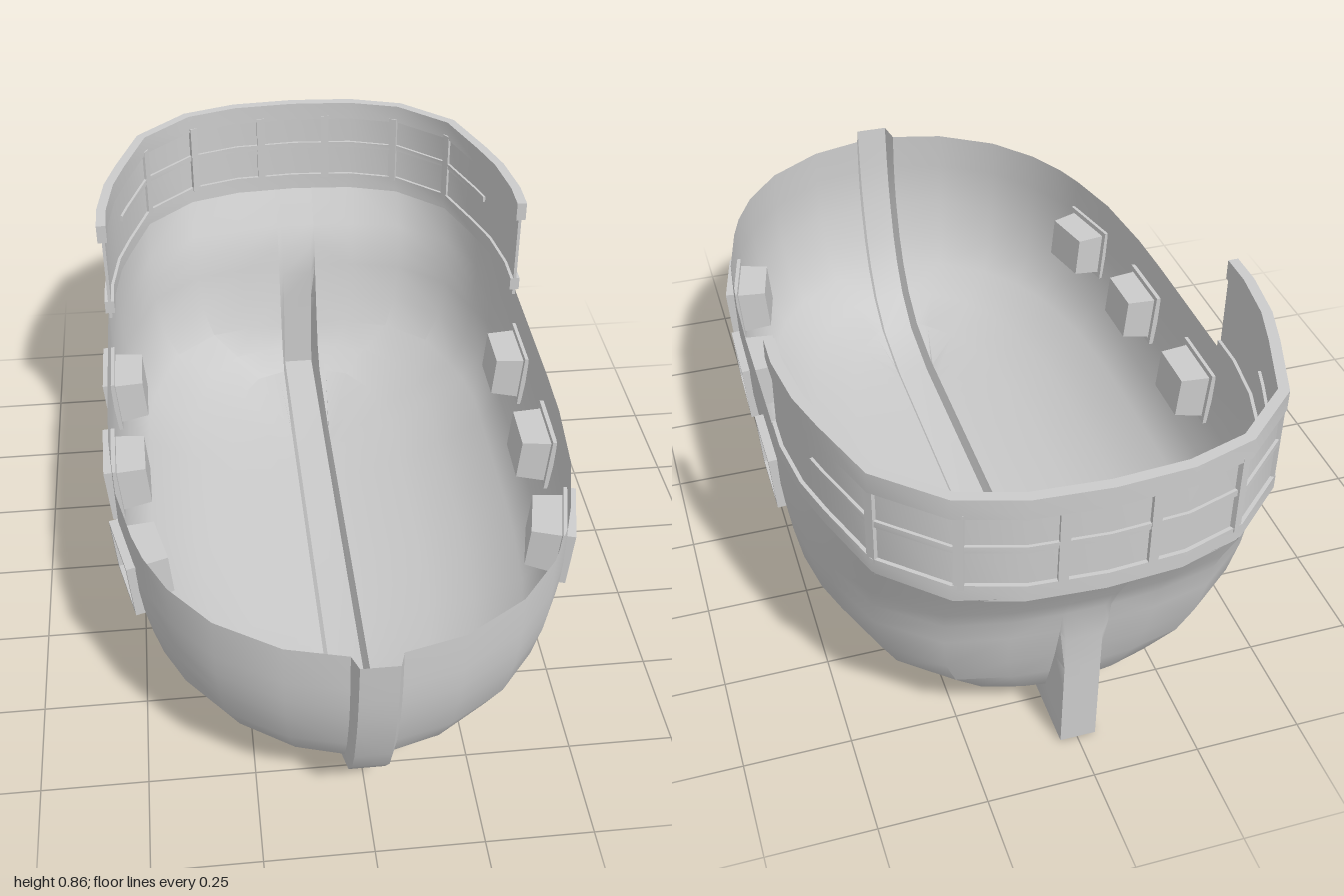
import * as THREE from 'three';
import { toCreasedNormals } from 'three/addons/utils/BufferGeometryUtils.js';

const material = new THREE.MeshStandardMaterial({ color: 0xcccccc, side: THREE.DoubleSide });

// Half deck outline from bow to stern: [x, z]
const OUTLINE = [
  [0.055, 0.955], [0.19, 0.92], [0.33, 0.83], [0.42, 0.72], [0.47, 0.62], [0.495, 0.545],
  [0.53, 0.395], [0.547, 0.2], [0.55, 0.06], [0.55, -0.155], [0.55, -0.295], [0.55, -0.42],
  [0.53, -0.55], [0.5, -0.65], [0.44, -0.82], [0.31, -0.94], [0.17, -0.975], [0.055, -0.985],
];
// Waterlines: y, half width, bow z, stern z, keel bow [z, y], keel stern [z, y]
const LEVELS = [
  [0.59, 0.55, 0.955, -0.985, [1.0, 0.6], [-0.985, 0.59]],
  [0.49, 0.55, 0.955, -0.925, [0.99, 0.49], [-0.925, 0.49]],
  [0.43, 0.547, 0.95, -0.895, [0.98, 0.42], [-0.895, 0.43]],
  [0.37, 0.54, 0.94, -0.885, [0.965, 0.355], [-0.89, 0.34]],
  [0.27, 0.52, 0.91, -0.86, [0.935, 0.255], [-0.89, 0.25]],
  [0.19, 0.47, 0.87, -0.835, [0.9, 0.18], [-0.89, 0.18]],
  [0.12, 0.35, 0.81, -0.81, [0.84, 0.1], [-0.89, 0.1]],
  [0.065, 0.24, 0.72, -0.76, [0.74, 0.035], [-0.89, 0.01]],
  [0.035, 0.055, 0.56, -0.5, [0.56, 0.005], [-0.5, 0.005]],
];
const KEEL = 0.055;
const PORT_COLUMNS = [5, 7, 9];

// Surface through rows of points; skip(row, column) leaves a hole
function grid(rows, crease = 0.6, skip = () => false) {
  const n = rows[0].length, index = [];
  for (let r = 0; r < rows.length - 1; r++) {
    for (let c = 0; c < n - 1; c++) {
      if (skip(r, c)) continue;
      const a = r * n + c, b = a + n;
      index.push(a, b, a + 1, a + 1, b, b + 1);
    }
  }
  const g = new THREE.BufferGeometry();
  g.setAttribute('position', new THREE.Float32BufferAttribute(rows.flat(2), 3));
  g.setIndex(index);
  return toCreasedNormals(g, crease);
}

function part(name, geometry) {
  const mesh = new THREE.Mesh(geometry, material);
  mesh.name = name;
  return mesh;
}

// Half hull with openings for the ports
function hullGeometry() {
  const last = OUTLINE.length - 1;
  const rows = LEVELS.map(([y, w, bow, stern]) => OUTLINE.map(([x, z], i) => {
    const px = i === 0 || i === last ? KEEL : Math.max(KEEL, x * w / 0.55);
    const pz = z > 0.06 ? 0.06 + (z - 0.06) * (bow - 0.06) / 0.895
      : z < -0.32 ? -0.32 + (z + 0.32) * (stern + 0.32) / -0.665
        : w <= KEEL ? z * 0.9 : z;
    return [px, y, pz];
  }));
  return grid(rows, 0.6, (r, c) => (r === 1 || r === 2) && PORT_COLUMNS.includes(c));
}

// Hollow stem, keel and skeg in one strip
function keelGeometry() {
  const section = (y, z, [oz, oy]) => [[KEEL, y, z], [0.042, oy, oz], [-0.042, oy, oz], [-KEEL, y, z]];
  const bow = LEVELS.map(l => section(l[0], l[2], l[4]));
  const stern = LEVELS.map(l => section(l[0], l[3], l[5])).reverse();
  return grid([...bow, ...stern], 0.8);
}

// Stern bulwark path from one side round to the other
const HALF = [[0.543, -0.335], [0.543, -0.42], [0.525, -0.55], [0.495, -0.65], [0.437, -0.815],
  [0.307, -0.932], [0.168, -0.974]];
const PATH = [...HALF, [0, -0.985], ...HALF.map(([x, z]) => [-x, z]).reverse()];

// Rectangular band swept along a path, with closed ends
function band(path, y0, y1, inner, outer) {
  const rows = path.map(([x, z], i) => {
    const a = path[Math.max(0, i - 1)], b = path[Math.min(path.length - 1, i + 1)];
    const dx = b[0] - a[0], dz = b[1] - a[1], l = Math.hypot(dx, dz);
    const nx = -dz / l, nz = dx / l;
    const at = (o, y) => [x + nx * o, y, z + nz * o];
    return [at(outer, y0), at(outer, y1), at(inner, y1), at(inner, y0), at(outer, y0)];
  });
  const cap = row => row.map(() => [0, 1, 2].map(k => (row[0][k] + row[2][k]) / 2));
  return grid([cap(rows[0]), ...rows, cap(rows[rows.length - 1])], 0.6);
}

// Port facing +x: raised frame and closed tapered recess
function gunPort() {
  const port = new THREE.Group();
  const w = 0.087, h = 0.073, t = 0.013;
  const rect = (shape, a, b) => shape.moveTo(-a, -b).lineTo(a, -b).lineTo(a, b).lineTo(-a, b).closePath();
  const shape = rect(new THREE.Shape(), w, h);
  shape.holes.push(rect(new THREE.Path(), w - t, h - t));
  const frame = new THREE.ExtrudeGeometry(shape, { depth: 0.03, bevelEnabled: false });
  frame.rotateY(Math.PI / 2).translate(-0.015, 0, 0);
  const r = Math.SQRT2;
  const profile = [[0, -0.085], [r * 0.88, -0.085], [r, 0]].map(p => new THREE.Vector2(...p));
  const recess = toCreasedNormals(new THREE.LatheGeometry(profile, 4, Math.PI / 4), 0.3);
  recess.rotateZ(-Math.PI / 2).scale(1, h - t, w - t);
  port.add(part('portFrame', frame), part('portRecess', recess));
  return port;
}

export function createModel() {
  const model = new THREE.Group();
  model.name = 'shipHull';

  // Mirrored hull sides with three ports each
  for (const s of [1, -1]) {
    const side = new THREE.Group();
    side.name = s > 0 ? 'leftSide' : 'rightSide';
    side.add(part('hullSide', hullGeometry()));
    for (const [x, z, yaw] of [[0.512, 0.47, -0.23], [0.547, 0.13, -0.02], [0.55, -0.225, 0]]) {
      const port = gunPort();
      port.name = 'gunPort';
      port.position.set(x, 0.432, z);
      port.rotation.set(0, yaw, -0.08, 'YXZ');
      side.add(port);
    }
    side.scale.x = s;
    model.add(side);
  }
  model.add(part('keel', keelGeometry()));

  // Stern bulwark and its rails
  model.add(
    part('bulwarkWall', band(PATH, 0.585, 0.83, -0.004, 0.004)),
    part('lowerRail', band(PATH, 0.6, 0.636, -0.012, 0.013)),
    part('topRail', band(PATH, 0.815, 0.865, -0.01, 0.015)),
    part('middleRail', band([[0.51, -0.6], ...PATH.slice(3, -3), [-0.51, -0.6]], 0.724, 0.74, -0.011, 0.011)),
  );

  // Bulwark posts: x, z, turn
  for (const [x, z, turn] of [[0.095, -0.979, 0.08], [0.295, -0.936, 0.5], [0.437, -0.812, 1.0]]) {
    for (const s of [1, -1]) {
      const post = part('bulwarkPost', new THREE.BoxGeometry(0.022, 0.2, 0.026));
      post.position.set(s * x, 0.725, z);
      post.rotation.y = -s * turn;
      model.add(post);
    }
  }
  return model;
}
